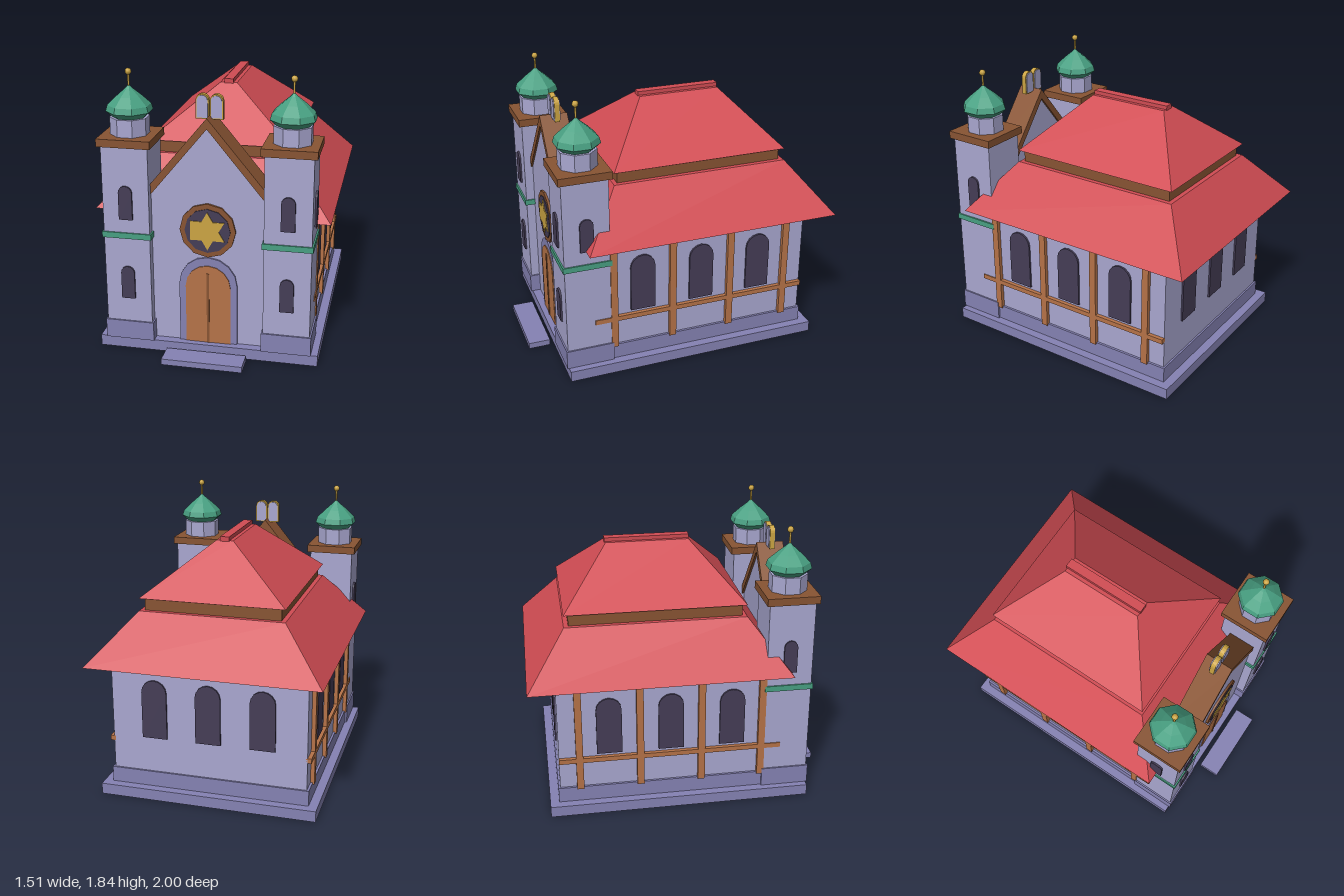
import * as THREE from 'three';

const mat = (name, color) => {
  const m = new THREE.MeshStandardMaterial({ color });
  m.name = name;
  return m;
};

export function createModel() {
  const wall = mat('lilac wall', 0xa9a7d0);
  const stone = mat('violet stone', 0x8582b3);
  const red = mat('red roof', 0xd14c53);
  const brown = mat('brown trim', 0x885433);
  const wood = mat('orange wood', 0xb67348);
  const green = mat('green copper', 0x48a082);
  const gold = mat('gold', 0xcca543);
  const glass = mat('dark glass', 0x453d56);
  const model = new THREE.Group();

  const add = (name, geo, material, parent = model) => {
    const mesh = new THREE.Mesh(geo, material);
    mesh.name = name;
    parent.add(mesh);
    return mesh;
  };
  // Box given by its minimum and maximum on each axis
  const span = (name, material, [x0, x1], [y0, y1], [z0, z1], parent) => {
    const g = new THREE.BoxGeometry(x1 - x0, y1 - y0, z1 - z0);
    g.translate((x0 + x1) / 2, (y0 + y1) / 2, (z0 + z1) / 2);
    return add(name, g, material, parent);
  };
  // Flat outline extruded from z0 to z1
  const slab = (points, z0, z1) => {
    const shape = new THREE.Shape(points.map(([x, y]) => new THREE.Vector2(x, y)));
    return new THREE.ExtrudeGeometry(shape, { depth: z1 - z0, bevelEnabled: false }).translate(0, 0, z0);
  };
  // Round-headed outline centred on x = 0
  const arch = (w, y0, y1, n = 8) => {
    const r = w / 2, pts = [[-r, y0], [r, y0]];
    for (let i = 0; i <= n; i++) {
      const a = (Math.PI * i) / n;
      pts.push([r * Math.cos(a), y1 - r + r * Math.sin(a)]);
    }
    return pts;
  };
  const archWindow = (name, w, y0, y1, x, z, turn, parent) => {
    const m = add(name, slab(arch(w, y0, y1), -0.01, 0.01), glass, parent);
    m.position.set(x, 0, z);
    m.rotation.y = turn;
  };
  // Hipped roof tier: a box whose top corners are drawn in
  const hip = (name, low, high, y0, y1) => {
    const g = new THREE.BoxGeometry(2, 2, 2);
    const p = g.attributes.position;
    for (let i = 0; i < p.count; i++) {
      const top = p.getY(i) > 0, [hx, zb, zf] = top ? high : low;
      p.setXYZ(i, p.getX(i) * hx, top ? y1 : y0, p.getZ(i) > 0 ? zf : zb);
    }
    g.computeVertexNormals();
    add(name, g, red);
  };

  // Base, step and hall
  span('base', stone, [-0.713, 0.713], [0, 0.073], [-0.893, 0.828]);
  span('frontStep', stone, [-0.26, 0.26], [0, 0.04], [0.855, 1]);
  span('hallPlinth', stone, [-0.655, 0.655], [0.073, 0.175], [-0.835, 0.655]);
  span('hall', wall, [-0.64, 0.64], [0.175, 0.9], [-0.823, 0.64]);
  span('cornice', brown, [-0.665, 0.665], [0.87, 0.912], [-0.835, 0.655]);

  // Two-tier roof
  hip('lowerRoof', [0.757, -1, 0.69], [0.47, -0.745, 0.437], 0.91, 1.23);
  span('roofBand', brown, [-0.44, 0.44], [1.23, 1.31], [-0.715, 0.41]);
  hip('upperRoof', [0.47, -0.745, 0.437], [0.055, -0.43, 0.12], 1.31, 1.64);
  span('ridgeCap', red, [-0.03, 0.03], [1.635, 1.665], [-0.437, 0.125]);

  // Side timbering and windows
  for (const s of [-1, 1]) {
    const side = new THREE.Group();
    side.name = s > 0 ? 'leftSide' : 'rightSide';
    model.add(side);
    const xr = s > 0 ? [0.63, 0.666] : [-0.666, -0.63];
    for (const z of [0.51, 0.11, -0.293, -0.69]) span('post', wood, xr, [0.165, 0.872], [z - 0.023, z + 0.023], side);
    span('rail', wood, xr, [0.36, 0.392], [-0.823, 0.64], side);
    for (const z of [0.313, -0.09, -0.493]) archWindow('hallWindow', 0.165, 0.412, 0.805, s * 0.643, z, s * Math.PI / 2, side);
  }
  for (const x of [-0.355, 0, 0.355]) archWindow('backWindow', 0.165, 0.412, 0.805, x, -0.825, Math.PI);

  // Front gable with raking trim
  add('gableWall', slab([[-0.365, 0.073], [0.365, 0.073], [0.365, 1.065], [0, 1.51], [-0.365, 1.065]], 0.615, 0.77), wall);
  add('gableTrim', slab([[-0.365, 1.06], [0, 1.505], [0.365, 1.06], [0.365, 1.13], [0, 1.573], [-0.365, 1.13]], 0.6, 0.783), brown);

  // Doorway
  add('doorSurround', slab(arch(0.375, 0.073, 0.667), 0.76, 0.782), stone);
  add('door', slab(arch(0.29, 0.073, 0.612), 0.76, 0.788), wood);
  span('doorSeam', brown, [-0.008, 0.008], [0.075, 0.56], [0.78, 0.794]);

  // Round window with star
  const disc = (name, r, z1, material) => {
    const g = new THREE.CylinderGeometry(r, r, z1 - 0.76, 12).rotateX(Math.PI / 2);
    add(name, g.translate(0, 0.85, (0.76 + z1) / 2), material);
  };
  disc('roundWindowFrame', 0.179, 0.785, brown);
  disc('roundWindowGlass', 0.146, 0.79, glass);
  const star = [];
  for (let i = 0; i < 12; i++) {
    if (i === 3) continue; // the notch on one side is filled
    const a = Math.PI / 2 + (i * Math.PI) / 6, r = i % 2 ? 0.072 : 0.126;
    star.push([r * Math.cos(a), 0.85 + r * Math.sin(a)]);
  }
  add('star', slab(star, 0.785, 0.796), gold);

  // Pair of tablets on the gable peak
  for (const s of [-1, 1]) {
    const tablet = new THREE.Group();
    tablet.name = 'tablet';
    tablet.position.x = s * 0.044;
    model.add(tablet);
    add('tabletRim', slab(arch(0.083, 1.547, 1.703), 0.67, 0.702), gold, tablet);
    add('tabletFace', slab(arch(0.068, 1.555, 1.695), 0.664, 0.708), wall, tablet);
  }

  // Towers with onion domes
  const dome = [[0.09, 1.52], [0.147, 1.572], [0.136, 1.61], [0.078, 1.665], [0.024, 1.71], [0, 1.735]]
    .map(([r, y]) => new THREE.Vector2(r, y));
  const cz = 0.68;
  for (const s of [-1, 1]) {
    const tower = new THREE.Group();
    tower.name = s > 0 ? 'leftTower' : 'rightTower';
    tower.position.set(s * 0.51, 0, cz);
    model.add(tower);
    const block = (name, material, h, y0, y1) => span(name, material, [-h, h], [y0, y1], [-h, h], tower);
    block('towerPlinth', stone, 0.159, 0.073, 0.2);
    block('towerShaft', wall, 0.149, 0.2, 1.38);
    block('towerBand', green, 0.159, 0.777, 0.815);
    block('towerCap', brown, 0.17, 1.375, 1.425);
    const drum = new THREE.CylinderGeometry(0.124, 0.124, 0.115, 8).rotateY(Math.PI / 8).toNonIndexed();
    drum.computeVertexNormals();
    add('drum', drum.translate(0, 1.4775, 0), wall, tower);
    const onion = new THREE.LatheGeometry(dome, 8).rotateY(Math.PI / 8).toNonIndexed();
    onion.computeVertexNormals();
    add('dome', onion, green, tower);
    add('domeUnderside', new THREE.CircleGeometry(0.09, 8).rotateZ(Math.PI / 8).rotateX(Math.PI / 2).translate(0, 1.52, 0), green, tower);
    add('finialRod', new THREE.CylinderGeometry(0.007, 0.007, 0.1, 6).translate(0, 1.765, 0), gold, tower);
    add('finialBall', new THREE.SphereGeometry(0.021, 8, 6).translate(0, 1.815, 0), gold, tower);
    archWindow('lowerWindow', 0.088, 0.365, 0.587, 0, 0.151, 0, tower);
    archWindow('upperWindow', 0.088, 0.905, 1.127, 0, 0.151, 0, tower);
    archWindow('sideWindow', 0.088, 0.905, 1.127, s * 0.151, 0, s * Math.PI / 2, tower);
  }
  return model;
}
